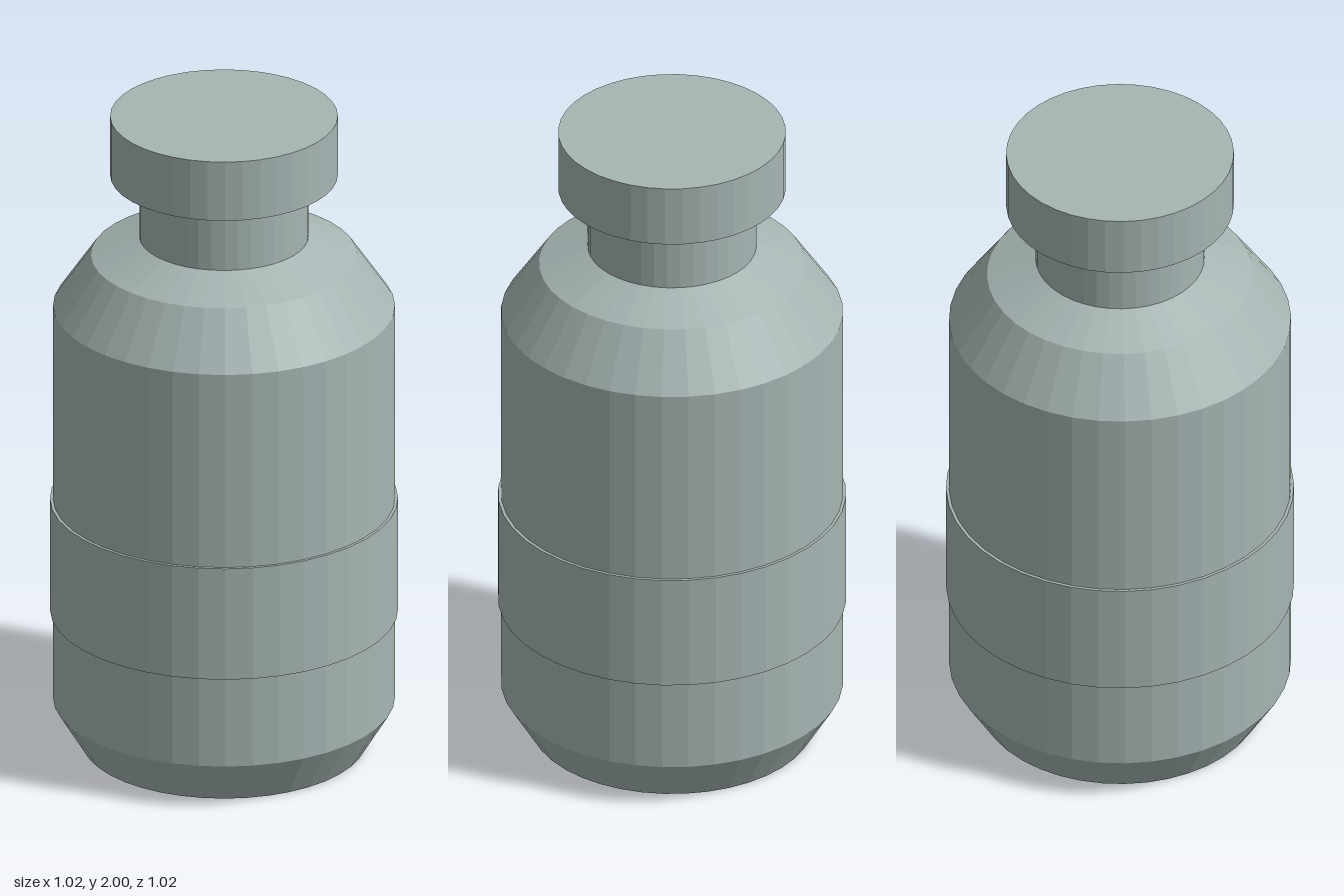
import * as THREE from 'three';

const SIDES = 40;

// Turned solid from [radius, height] pairs listed bottom to top
function turned(name, profile, material) {
  const points = profile.map(([r, y]) => new THREE.Vector2(r, y));
  const mesh = new THREE.Mesh(new THREE.LatheGeometry(points, SIDES), material);
  mesh.name = name;
  return mesh;
}

export function createModel() {
  const group = new THREE.Group();
  group.name = 'bottle';
  const greyGreen = new THREE.MeshStandardMaterial({ color: 0xa6b5b3, flatShading: true });
  greyGreen.name = 'greyGreen';

  // Body with bevelled base and two-step shoulder
  group.add(turned('body', [
    [0, 0], [0.415, 0], [0.5, 0.14], [0.5, 1.393], [0.389, 1.557], [0.247, 1.615], [0, 1.615],
  ], greyGreen));

  // Raised band around the lower body
  group.add(turned('band', [
    [0.5, 0.422], [0.509, 0.422], [0.509, 0.777], [0.5, 0.777],
  ], greyGreen));

  // Neck and cap
  group.add(turned('neck', [[0.247, 1.61], [0.247, 1.815]], greyGreen));
  group.add(turned('cap', [[0, 1.812], [0.333, 1.812], [0.333, 2], [0, 2]], greyGreen));

  return group;
}
